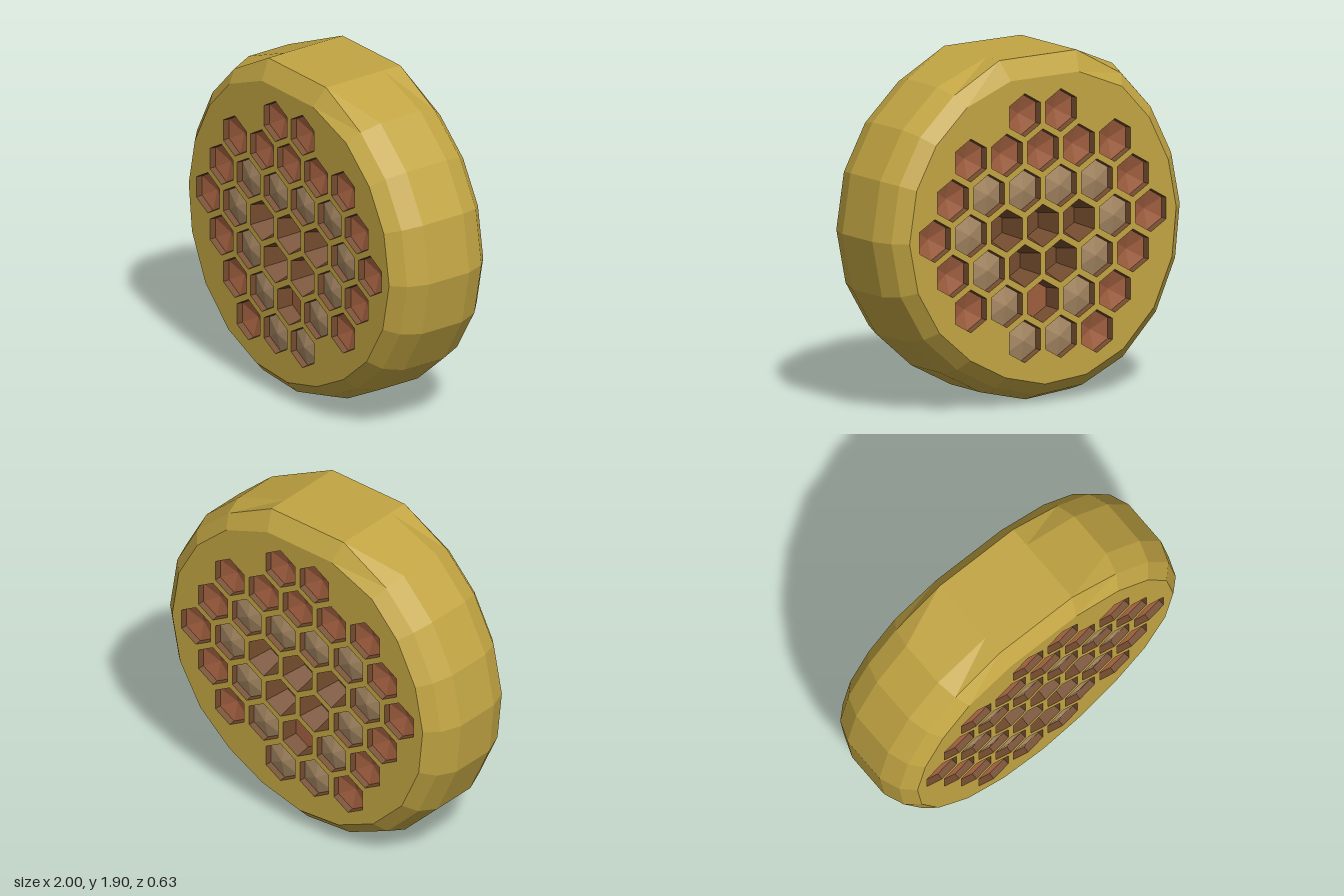
import * as THREE from 'three';
import { mergeGeometries } from 'three/addons/utils/BufferGeometryUtils.js';

const CY = 0.98, FACE_Z = 0.317;
const HEX_R = 0.1175, PITCH = 0.239, ROW = 0.206;

// Irregular rim outline, counter-clockwise; the first two corners bound the flat top
const OUTLINE = [
  [0.24, 1.9], [-0.27, 1.9], [-0.594, 1.77], [-0.797, 1.556], [-0.94, 1.278], [-1, 0.98],
  [-0.968, 0.674], [-0.834, 0.38], [-0.604, 0.15], [-0.326, 0.025], [-0.016, 0], [0.28, 0.073],
  [0.545, 0.21], [0.775, 0.406], [0.936, 0.67], [1, 0.98], [0.947, 1.305], [0.8, 1.567], [0.57, 1.775],
];

// Cells row by row from the top: R red lid, T tan lid, D open, S sunken red
const CELLS = ['RR', 'RRRRR', 'RTTTTR', 'RTDDDTR', 'RTDDTR', 'RTSTR', 'RTT'];
const ROW_START = [-0.5, -2, -2.5, -3, -2.5, -2, -1.5];

const rimRing = (scale, z, topScale = scale) => OUTLINE.map(([x, y], i) => {
  const s = i < 2 ? topScale : scale;
  return [x * s, CY + (y - CY) * s, z];
});

const hexRing = (x, y, r, z) => Array.from({ length: 6 }, (_, i) => {
  const a = Math.PI / 6 + i * Math.PI / 3;
  return [x + r * Math.cos(a), y + r * Math.sin(a), z];
});

function fromPositions(positions) {
  const geo = new THREE.BufferGeometry();
  geo.setAttribute('position', new THREE.Float32BufferAttribute(positions, 3));
  geo.computeVertexNormals();
  return geo;
}

// Faceted skin through a list of rings
function loft(rings) {
  const out = [];
  for (let k = 0; k + 1 < rings.length; k++) {
    const p = rings[k], q = rings[k + 1], n = p.length;
    for (let i = 0; i < n; i++) {
      const j = (i + 1) % n;
      out.push(...p[i], ...p[j], ...q[j], ...p[i], ...q[j], ...q[i]);
    }
  }
  return fromPositions(out);
}

// Geometry together with its copy on the other side of z = 0
function bothSides(geo) {
  const src = geo.index ? geo.toNonIndexed() : geo;
  const p = src.attributes.position, front = [], back = [];
  for (let i = 0; i < p.count; i += 3) {
    for (const k of [0, 1, 2]) front.push(p.getX(i + k), p.getY(i + k), p.getZ(i + k));
    for (const k of [0, 2, 1]) back.push(p.getX(i + k), p.getY(i + k), -p.getZ(i + k));
  }
  return fromPositions([...front, ...back]);
}

export function createModel() {
  const group = new THREE.Group();
  const material = (name, color) => {
    const m = new THREE.MeshStandardMaterial({ color });
    m.name = name;
    return m;
  };
  const gold = material('gold', 0xc2a543);
  const tan = material('tan', 0xa88964);
  const red = material('redBrown', 0x9f5e3e);
  const brown = material('darkBrown', 0x744c2e);

  const add = (name, geo, mat) => {
    const mesh = new THREE.Mesh(geo, mat);
    mesh.name = name;
    group.add(mesh);
  };

  // Bevelled rim, flattened at the top
  add('rim', loft([
    rimRing(0.885, -FACE_Z), rimRing(0.957, -0.25, 1), rimRing(1, -0.135),
    rimRing(1, 0.135), rimRing(0.957, 0.25, 1), rimRing(0.885, FACE_Z),
  ]), gold);

  // Face plate outline, cells are cut out below
  const toVec = ([x, y]) => new THREE.Vector2(x, y);
  const face = new THREE.Shape(rimRing(0.885, 0).map(toVec));

  const walls = [], redLids = [], tanLids = [], floors = [], sunken = [];
  CELLS.forEach((row, r) => [...row].forEach((type, c) => {
    const x = (ROW_START[r] + c) * PITCH, y = CY + (3 - r) * ROW;
    face.holes.push(new THREE.Path(hexRing(x, y, HEX_R, 0).map(toVec).reverse()));

    // Depth and radius of the cell floor, and height of its centre point
    const [depth, radius, rise, list] = {
      R: [0.035, 0.112, -0.03, redLids],
      T: [0.035, 0.112, 0.025, tanLids],
      D: [0.14, 0.08, 0, floors],
      S: [0.09, 0.1, 0, sunken],
    }[type];
    const z = FACE_Z - depth;
    walls.push(loft([hexRing(x, y, HEX_R, FACE_Z), hexRing(x, y, radius, z)]));
    list.push(loft([hexRing(x, y, radius, z), hexRing(x, y, 0, z + rise)]));
  }));

  add('facePlates', bothSides(new THREE.ShapeGeometry(face).translate(0, 0, FACE_Z)), gold);
  add('cellWalls', bothSides(mergeGeometries(walls)), brown);
  add('openCellFloors', bothSides(mergeGeometries(floors)), brown);
  add('redCellLids', bothSides(mergeGeometries(redLids)), red);
  add('sunkenCellFloors', bothSides(mergeGeometries(sunken)), red);
  add('tanCellLids', bothSides(mergeGeometries(tanLids)), tan);

  return group;
}
